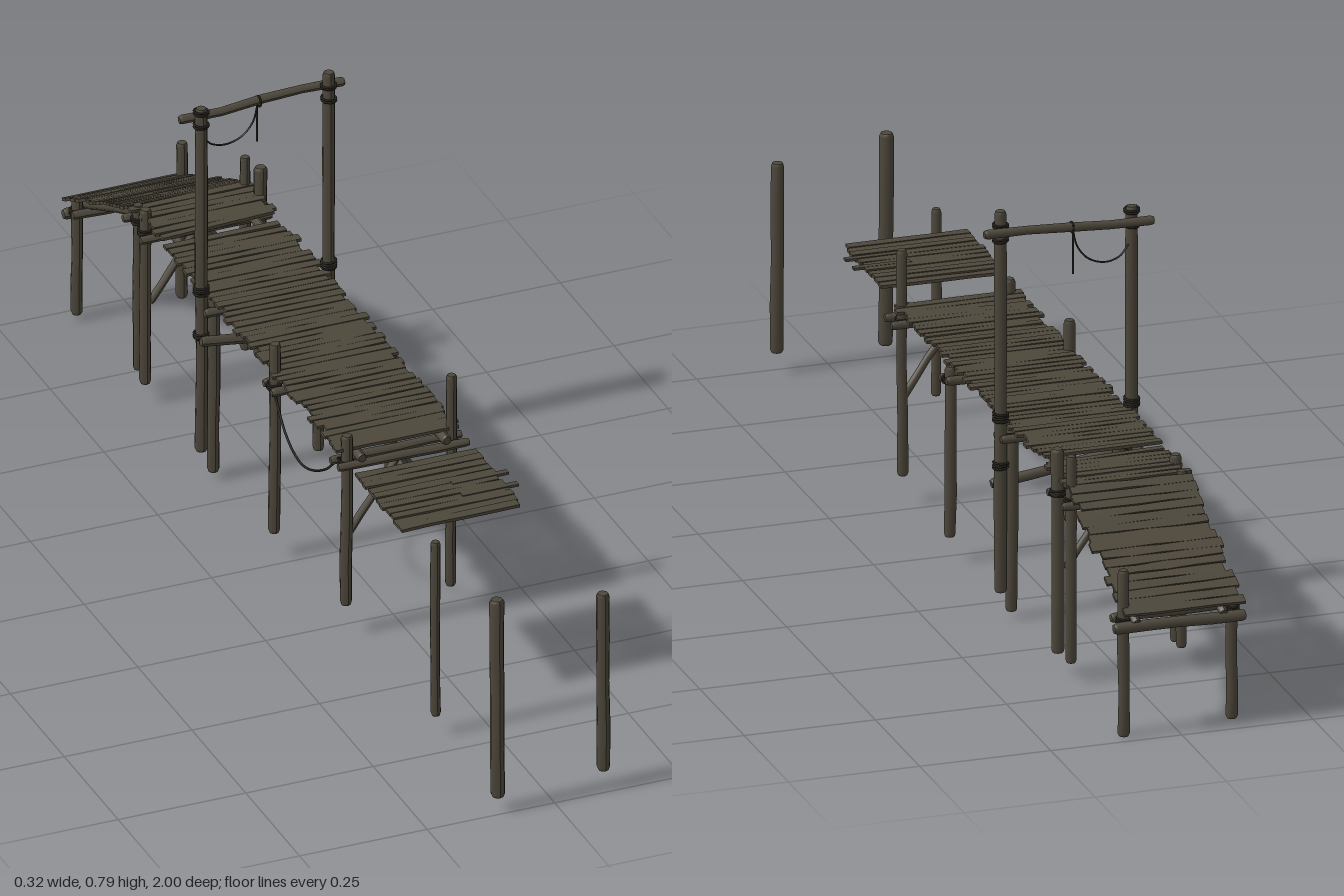
import * as THREE from 'three';

const wood = new THREE.MeshStandardMaterial({ color: 0x4d473b });
wood.name = 'weathered wood';
const ropeMat = new THREE.MeshStandardMaterial({ color: 0x28251f });
ropeMat.name = 'dark rope';

const V = (x, y, z) => new THREE.Vector3(x, y, z);

export function createModel() {
  const model = new THREE.Group();
  model.name = 'brokenPier';
  let seed = 11;
  const rnd = () => {
    seed = (seed * 16807) % 2147483647;
    return seed / 2147483647 - 0.5;
  };
  const add = (name, geo, mat = wood, parent = model) => {
    const m = new THREE.Mesh(geo, mat);
    m.name = name;
    parent.add(m);
    return m;
  };

  // Rough round timber between two points, slightly crooked with chamfered ends
  function log(name, a, b, r, bend = 0.0025) {
    const len = a.distanceTo(b);
    const c = Math.min(0.006 / len, 0.05);
    const rows = [0, c, 0.25, 0.5, 0.75, 1 - c, 1];
    const geo = new THREE.CylinderGeometry(r, r, len, 9, 6);
    const wob = rows.map((t, i) => ({
      t,
      s: (i === 0 || i === 6) ? 0.8 : 1 + rnd() * 0.14,
      x: (i > 1 && i < 5) ? rnd() * bend : 0,
      z: (i > 1 && i < 5) ? rnd() * bend : 0,
    }));
    const p = geo.attributes.position;
    for (let i = 0; i < p.count; i++) {
      const w = wob[Math.round((p.getY(i) / len + 0.5) * 6)];
      p.setXYZ(i, p.getX(i) * w.s + w.x, (w.t - 0.5) * len, p.getZ(i) * w.s + w.z);
    }
    geo.computeVertexNormals();
    const m = add(name, geo);
    m.position.copy(a).add(b).multiplyScalar(0.5);
    m.quaternion.setFromUnitVectors(V(0, 1, 0), b.clone().sub(a).normalize());
    return m;
  }

  // Posts: x, z, bottom, top, radius
  const posts = [
    [-0.105, 0.985, 0.03, 0.438, 0.0135], [0.102, 0.985, 0.04, 0.405, 0.0125],
    [-0.1, 0.685, 0.04, 0.4, 0.009],
    [-0.105, 0.28, 0.06, 0.41, 0.011], [0.1, 0.28, 0.055, 0.49, 0.01],
    [-0.115, -0.03, 0.05, 0.44, 0.011], [0.115, -0.03, 0.05, 0.378, 0.011],
    [-0.127, -0.34, 0.06, 0.77, 0.0115], [0.123, -0.34, 0.055, 0.79, 0.0115],
    [-0.105, -0.336, 0.015, 0.375, 0.0115], [0.101, -0.336, 0.015, 0.375, 0.0115],
    [-0.11, -0.64, 0.04, 0.4, 0.011], [0.115, -0.64, 0.045, 0.438, 0.012],
    [-0.105, -0.685, 0.045, 0.385, 0.01], [0.105, -0.685, 0.04, 0.438, 0.01],
    [-0.105, -0.97, 0.01, 0.25, 0.0105], [0.101, -0.97, 0, 0.32, 0.0105],
  ];
  for (const [x, z, y0, y1, r] of posts) log('post', V(x, y0, z), V(x + rnd() * 0.004, y1, z), r);

  // Stringers under the flat deck and the ramp
  for (const x of [-0.083, 0.083]) {
    log('stringer', V(x, 0.37, 0.305), V(x, 0.369, -0.34), 0.0095);
    log('stringer', V(x * 0.96, 0.368, -0.31), V(x * 0.96, 0.37, -0.7), 0.009);
    log('rampStringer', V(x, 0.365, -0.68), V(x, 0.222, -0.99), 0.009);
  }

  // Paired cross beams gripping each row of posts
  for (const [z, y] of [[0.28, 0.353], [-0.03, 0.352], [-0.34, 0.355], [-0.66, 0.352]]) {
    for (const s of [-1, 1]) {
      const d = z === -0.66 ? 0.041 : 0.018;
      log('crossBeam', V(-0.128, y + rnd() * 0.01, z + s * d), V(0.128, y + rnd() * 0.01, z + s * d), 0.0085);
    }
  }
  log('rampEndBeam', V(-0.125, 0.212, -0.985), V(0.125, 0.214, -0.985), 0.0105);
  log('rampEndBeam', V(-0.12, 0.225, -0.953), V(0.12, 0.223, -0.953), 0.009);
  log('slantedTie', V(-0.135, 0.296, -0.322), V(0.135, 0.258, -0.322), 0.0095);

  // Diagonal braces
  for (const z of [0.28, -0.64]) {
    for (const s of [-1, 1]) log('brace', V(s * 0.1, 0.205, z), V(s * 0.004, 0.345, z), 0.0075);
  }

  // Planks with uneven ends; each row runs along z with a start and end height
  function planks(name, z0, y0, z1, y1, left, right, pitch, jag) {
    const row = new THREE.Group();
    row.name = name;
    const len = Math.hypot(z1 - z0, y1 - y0);
    const n = Math.round(len / pitch);
    const slope = Math.atan2(y1 - y0, z0 - z1);
    for (let i = 0; i < n; i++) {
      const t = (i + 0.5) / n;
      const a = left + rnd() * jag, b = right + rnd() * jag;
      const geo = new THREE.BoxGeometry(b - a, 0.006, (len / n) * (0.93 + rnd() * 0.14), 4, 1, 1);
      const p = geo.attributes.position;
      const k = [0, 1, 2, 3, 4].map(() => rnd() * 0.003);
      for (let j = 0; j < p.count; j++) {
        const c = Math.round((p.getX(j) / (b - a) + 0.5) * 4);
        p.setZ(j, p.getZ(j) + k[c] * Math.sign(p.getZ(j)));
      }
      geo.computeVertexNormals();
      const m = add('plank', geo, wood, row);
      m.position.set((a + b) / 2, y0 + (y1 - y0) * t + rnd() * 0.002, z0 + (z1 - z0) * t);
      m.rotation.set(slope + rnd() * 0.03, rnd() * 0.03, rnd() * 0.012);
    }
    model.add(row);
  }
  planks('floatingDeck', 0.6, 0.384, 0.375, 0.384, -0.13, 0.105, 0.0205, 0.008);
  for (const z of [0.525, 0.478]) {
    add('loosePlank', new THREE.BoxGeometry(0.11, 0.005, 0.012)).position.set(0.073, 0.386, z);
  }
  planks('mainDeck', 0.285, 0.381, -0.535, 0.381, -0.118, 0.113, 0.0195, 0.018);
  planks('rearDeck', -0.575, 0.381, -0.69, 0.381, -0.116, 0.113, 0.0195, 0.02);
  planks('rampDeck', -0.69, 0.379, -0.995, 0.238, -0.118, 0.11, 0.0205, 0.018);
  const crooked = add('crookedPlank', new THREE.BoxGeometry(0.225, 0.006, 0.014));
  crooked.position.set(0, 0.382, -0.567);
  crooked.rotation.y = 0.06;

  // Tall gate crossbar
  log('gateBar', V(-0.163, 0.744, -0.357), V(0.16, 0.754, -0.357), 0.0085, 0.006);

  // Rope lashings wound around the joints
  function lashing(x, y, z, r, turns) {
    for (let i = 0; i < turns; i++) {
      const m = add('ropeLashing', new THREE.TorusGeometry(r, 0.0022, 5, 14), ropeMat);
      m.position.set(x, y + (i - (turns - 1) / 2) * 0.0045, z);
      m.rotation.set(Math.PI / 2 + rnd() * 0.2, rnd() * 0.2, 0);
    }
  }
  for (const [x, z, , y1, r] of posts.slice(3)) {
    if (z < -0.9) lashing(x, 0.223, z, r + 0.002, 3);
    else if (y1 > 0.7) {
      lashing(x, 0.393, z, r + 0.002, 4);
      lashing(x, 0.3, z, r + 0.002, 3);
      lashing(x, 0.762, z, r + 0.002, 2);
      lashing(x, 0.735, z, r + 0.002, 2);
    } else lashing(x, 0.354, z, r + 0.002, 3);
  }

  // Hanging ropes
  const rope = (name, pts, r) =>
    add(name, new THREE.TubeGeometry(new THREE.CatmullRomCurve3(pts), 28, r, 5), ropeMat);
  rope('saggingRope', [V(-0.115, 0.365, 0.275), V(-0.12, 0.315, 0.225), V(-0.122, 0.275, 0.15),
    V(-0.122, 0.268, 0.1), V(-0.12, 0.285, 0.04), V(-0.118, 0.33, -0.01), V(-0.118, 0.365, -0.03)], 0.0024);
  rope('gateRope', [V(-0.117, 0.7, -0.35), V(-0.1, 0.682, -0.355), V(-0.072, 0.674, -0.357),
    V(-0.04, 0.684, -0.357), V(-0.018, 0.71, -0.357), V(-0.008, 0.752, -0.357)], 0.0018);
  rope('gateRopeEnd', [V(-0.007, 0.757, -0.367), V(-0.006, 0.71, -0.367), V(-0.007, 0.662, -0.365)], 0.002);
  const loop = add('gateRopeKnot', new THREE.TorusGeometry(0.01, 0.002, 5, 14), ropeMat);
  loop.position.set(-0.007, 0.749, -0.357);
  loop.rotation.y = Math.PI / 2;

  return model;
}
